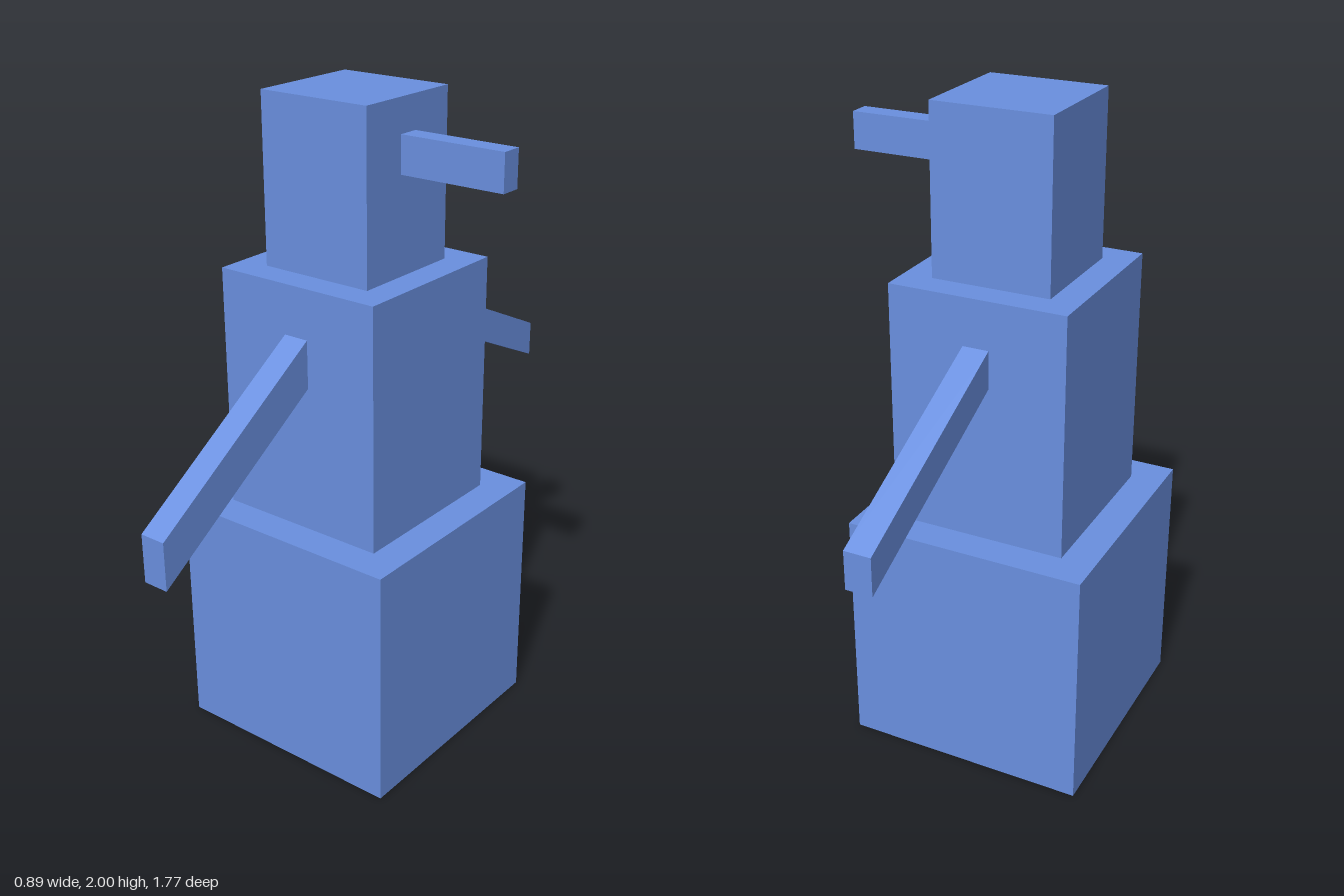
import * as THREE from 'three';

const material = new THREE.MeshStandardMaterial({ color: 0x6a90e0, flatShading: true });

// Box given by its [min, max] extent along each axis
function block(name, [x0, x1], [y0, y1], [z0, z1]) {
  const geometry = new THREE.BoxGeometry(x1 - x0, y1 - y0, z1 - z0);
  geometry.translate((x0 + x1) / 2, (y0 + y1) / 2, (z0 + z1) / 2);
  const mesh = new THREE.Mesh(geometry, material);
  mesh.name = name;
  return mesh;
}

// Arm: a box sheared downwards from the body, so both ends stay vertical
function arm(name, zBody, zTip, yBody, yTip, height) {
  const mesh = block(name, [-0.11, -0.03], [0, height], [Math.min(zBody, zTip), Math.max(zBody, zTip)]);
  const p = mesh.geometry.attributes.position;
  for (let i = 0; i < p.count; i++) {
    const t = (p.getZ(i) - zBody) / (zTip - zBody);
    p.setY(i, p.getY(i) + yBody + t * (yTip - yBody));
  }
  mesh.geometry.computeVertexNormals();
  return mesh;
}

export function createModel() {
  const model = new THREE.Group();
  model.name = 'snowman';
  model.add(
    // Stacked body
    block('base', [-0.445, 0.305], [0, 0.755], [-0.345, 0.405]),
    block('torso', [-0.342, 0.202], [0.755, 1.5], [-0.242, 0.302]),
    block('head', [-0.252, 0.112], [1.5, 2], [-0.152, 0.212]),
    // Nose
    block('nose', [0.112, 0.442], [1.79, 1.9], [-0.003, 0.062]),
    // Arms
    arm('frontArm', 0.302, 0.887, 1.205, 0.825, 0.145),
    arm('backArm', -0.242, -0.887, 1.24, 0.938, 0.115),
  );
  return model;
}
